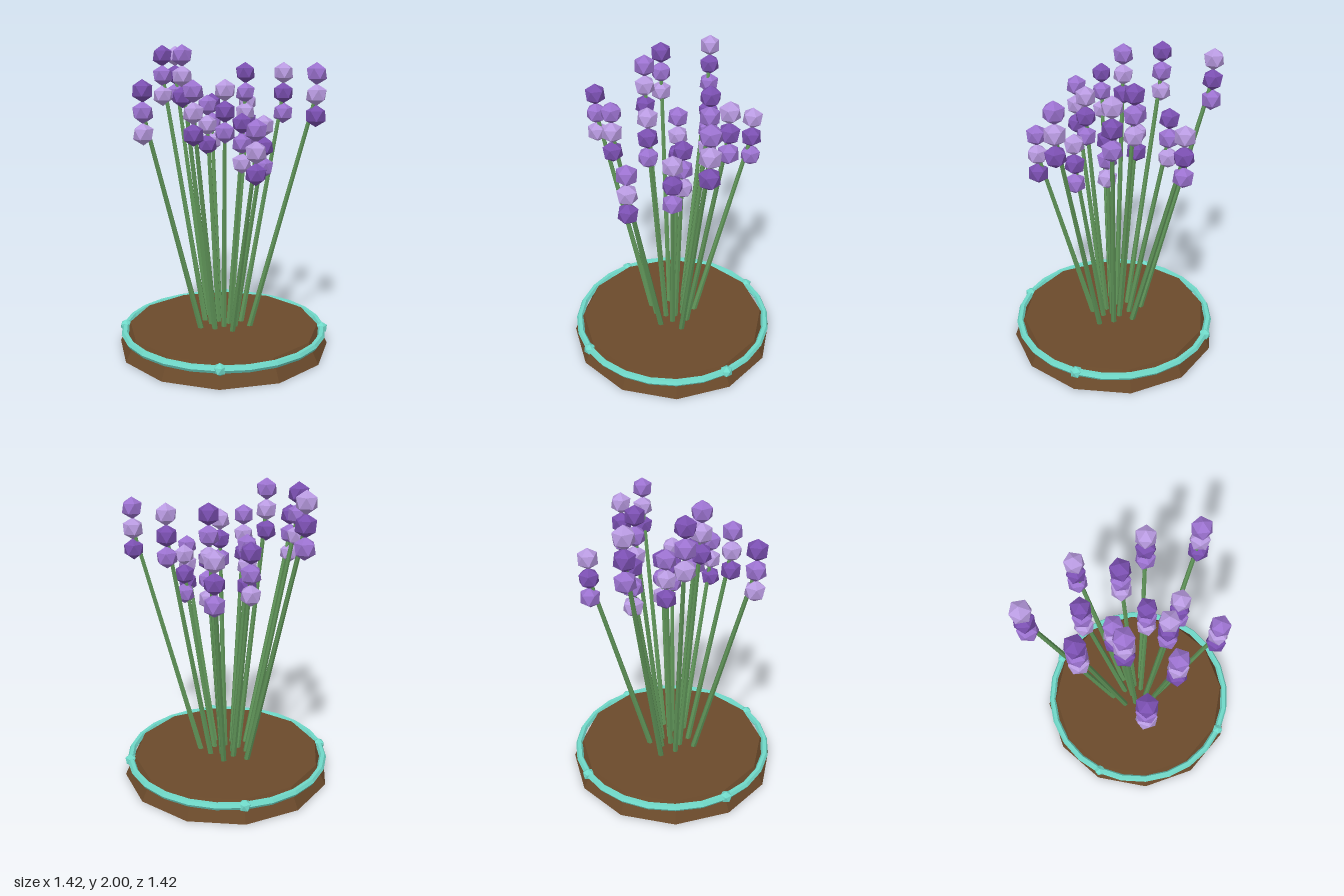
import * as THREE from 'three';

const mat = (color) => new THREE.MeshStandardMaterial({ color, flatShading: true });

// Icosahedron turned so that one corner points straight up
function gemGeometry(radius) {
  return new THREE.IcosahedronGeometry(radius, 0).rotateZ(-Math.atan(2 / (1 + Math.sqrt(5))));
}

export function createModel() {
  const model = new THREE.Group();
  model.name = 'pottedFlowers';
  const soil = mat(0x6b4a2b), teal = mat(0x6fd8c8), green = mat(0x5f9458);
  const purples = [mat(0x7a4fb0), mat(0x9b72cf), mat(0xb89ae0)]; // dark, mid, light

  const add = (parent, name, geometry, material, x = 0, y = 0, z = 0) => {
    const mesh = new THREE.Mesh(geometry, material);
    mesh.name = name;
    mesh.position.set(x, y, z);
    parent.add(mesh);
    return mesh;
  };

  // Twelve-sided soil base
  add(model, 'soilBase', new THREE.CylinderGeometry(0.64, 0.71, 0.135, 12), soil, 0, 0.0675, 0);

  // Rim ring with four gems
  add(model, 'rimRing', new THREE.TorusGeometry(0.67, 0.024, 6, 24).rotateX(Math.PI / 2), teal, 0, 0.11, 0);
  const rimGem = gemGeometry(0.042);
  for (let i = 0; i < 4; i++) {
    const a = (i * Math.PI) / 2;
    add(model, 'rimGem', rimGem, teal, 0.67 * Math.cos(a), 0.11, 0.67 * Math.sin(a));
  }

  // Flowers: head x, head z, top height, colour of the top bud
  const flowers = [
    [-0.36, -0.52, 2.0, 2], [0.155, -0.5, 1.68, 2], [-0.09, -0.33, 1.68, 0],
    [-0.41, -0.17, 2.0, 0], [-0.11, -0.11, 1.68, 1], [0.14, -0.18, 1.89, 0],
    [0.39, -0.14, 1.89, 2], [-0.26, 0.04, 2.0, 1], [0.12, 0, 1.57, 0],
    [0.58, 0.125, 1.89, 1], [0.255, 0.16, 1.57, 2], [0.015, 0.185, 1.79, 2],
    [-0.17, 0.33, 1.79, 1], [-0.48, 0.28, 1.79, 0], [0.205, 0.44, 1.57, 1],
  ];
  const budRadius = 0.07, budStep = 0.13, up = new THREE.Vector3(0, 1, 0);
  const bud = gemGeometry(budRadius);

  flowers.forEach(([x, z, top, tone], i) => {
    const flower = new THREE.Group();
    flower.name = 'flower';
    model.add(flower);

    // Leaning, tapered stem from the soil to the middle bud
    const foot = new THREE.Vector3(x * 0.3, 0.11, z * 0.3);
    const tip = new THREE.Vector3(x, top - budRadius - budStep, z);
    const along = tip.clone().sub(foot);
    const stem = add(flower, 'stem', new THREE.CylinderGeometry(0.013, 0.02, along.length(), 6), green);
    stem.position.copy(foot).addScaledVector(along, 0.5);
    stem.quaternion.setFromUnitVectors(up, along.normalize());

    // Three stacked buds
    for (let k = 0; k < 3; k++) {
      const y = top - budRadius - k * budStep;
      add(flower, 'bud', bud, purples[(tone + k) % 3], x, y, z).rotation.y = i * 0.9 + k * 0.5;
    }
  });
  return model;
}
